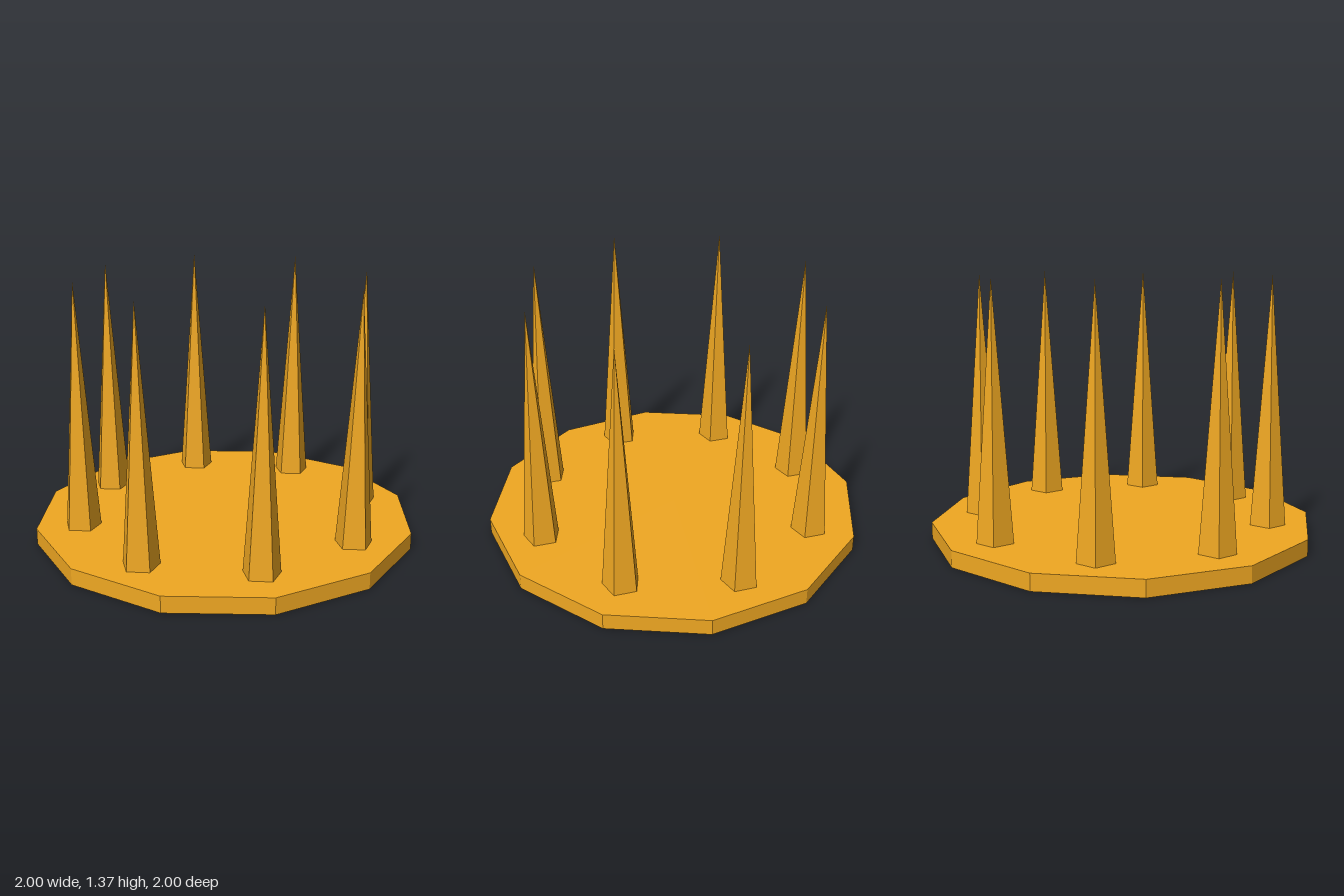
import * as THREE from 'three';

const BASE_HEIGHT = 0.085;
const SPIKE_RADIUS = 0.096;
const SPIKE_HEIGHT = 1.285;
const RING_RADIUS = 0.76;
const SPIKE_COUNT = 8;

export function createModel() {
  const model = new THREE.Group();
  model.name = 'spikedDisc';
  const material = new THREE.MeshStandardMaterial({ color: 0xf0a822, flatShading: true });

  // Twelve-sided base plate
  const base = new THREE.Mesh(new THREE.CylinderGeometry(1, 1, BASE_HEIGHT, 12), material);
  base.name = 'base';
  base.position.y = BASE_HEIGHT / 2;
  model.add(base);

  // Ring of five-sided spikes, all with one edge towards +x
  const spikeGeometry = new THREE.ConeGeometry(SPIKE_RADIUS, SPIKE_HEIGHT, 5, 1, false, Math.PI / 2);
  const spikes = new THREE.Group();
  spikes.name = 'spikes';
  for (let i = 0; i < SPIKE_COUNT; i++) {
    const angle = (i / SPIKE_COUNT) * Math.PI * 2;
    const spike = new THREE.Mesh(spikeGeometry, material);
    spike.name = `spike${i + 1}`;
    spike.position.set(
      Math.cos(angle) * RING_RADIUS,
      BASE_HEIGHT + SPIKE_HEIGHT / 2,
      Math.sin(angle) * RING_RADIUS
    );
    spikes.add(spike);
  }
  model.add(spikes);

  return model;
}
